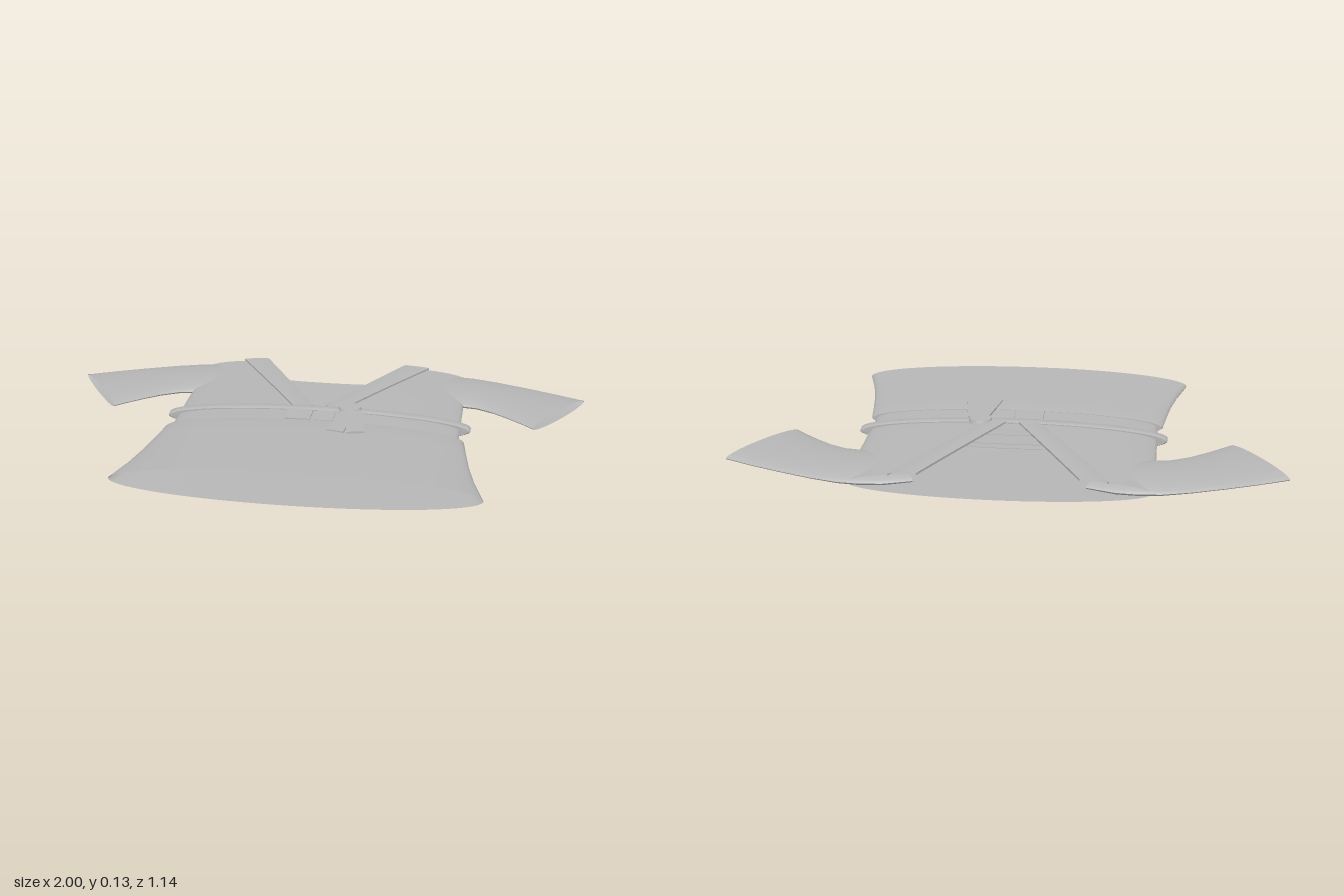
import * as THREE from 'three';
import { toCreasedNormals } from 'three/addons/utils/BufferGeometryUtils.js';

const CY = 0.0625; // mid height of the flat garment
const NECK = -0.56, V_END = -0.07;

// Skin a grid of cross-section points
function loft(rows) {
  const n = rows[0].length, index = [];
  for (let i = 0; i < rows.length - 1; i++) {
    for (let j = 0; j < n - 1; j++) {
      const a = i * n + j, b = a + 1, c = a + n, d = c + 1;
      index.push(a, c, b, b, c, d);
    }
  }
  const geo = new THREE.BufferGeometry();
  geo.setAttribute('position', new THREE.Float32BufferAttribute(rows.flat(2), 3));
  geo.setIndex(index);
  return toCreasedNormals(geo, 0.7);
}

// Elliptical ring around the body; an inner half-width leaves the front open
function ring(z, w, h, open = 0, segments = 72) {
  const start = Math.acos(open / w), end = Math.PI - start - 2 * Math.PI;
  return Array.from({ length: segments + 1 }, (_, j) => {
    const a = start + (end - start) * j / segments;
    return [w * Math.cos(a), CY + h * Math.sin(a), z];
  });
}

const lerp = THREE.MathUtils.lerp;
const torsoW = z => lerp(0.525, 0.537, THREE.MathUtils.smoothstep(z, NECK, -0.2));
const torsoH = z => lerp(0.047, 0.052, (z - NECK) / 0.65);
const neckX = z => z < V_END ? lerp(0.28, 0.025, (z - NECK) / (V_END - NECK)) : 0;
const surfaceY = (x, z) => CY + torsoH(z) * Math.sqrt(Math.max(0, 1 - (x / torsoW(z)) ** 2));

export function createModel() {
  const group = new THREE.Group();
  const cloth = new THREE.MeshStandardMaterial({ color: 0xb6b6b6, side: THREE.DoubleSide });
  cloth.name = 'grey cloth';
  const add = (name, geo) => {
    const mesh = new THREE.Mesh(geo, cloth);
    mesh.name = name;
    group.add(mesh);
    return mesh;
  };

  // Torso with V-shaped neck opening
  const torsoZ = Array.from({ length: 17 }, (_, i) => lerp(NECK, V_END, i / 16)).concat([-0.069, 0.0, 0.1]);
  add('torso', loft(torsoZ.map((z, i) => ring(z, torsoW(z), torsoH(z), i === 16 ? 0.025 : neckX(z)))));

  // Flared skirt with a turned-in upper lip
  add('skirt', loft([
    [0.075, 0.53, 0.05], [0.075, 0.553, 0.053], [0.085, 0.558, 0.0545], [0.18, 0.57, 0.056],
    [0.3, 0.587, 0.058], [0.43, 0.613, 0.06], [0.565, 0.65, 0.0625],
  ].map(r => ring(...r))));

  // Belt
  add('belt', loft([
    [-0.066, 0.53, 0.049], [-0.066, 0.568, 0.054], [-0.06, 0.576, 0.057],
    [-0.028, 0.576, 0.057], [-0.022, 0.568, 0.054], [-0.022, 0.53, 0.049],
  ].map(r => ring(...r))));

  // Sleeves: upper edge x,z, lower edge x,z, half thickness
  const sections = [
    [0.3, -0.53, 0.4, -0.3, 0.02], [0.4, -0.564, 0.46, -0.275, 0.026],
    [0.48, -0.571, 0.53, -0.27, 0.026], [0.56, -0.564, 0.59, -0.258, 0.023],
    [0.66, -0.536, 0.655, -0.22, 0.02], [0.78, -0.49, 0.71, -0.175, 0.019],
    [0.89, -0.443, 0.76, -0.13, 0.019], [1.0, -0.39, 0.807, -0.085, 0.02],
  ];
  const sleeveRows = sections.map(([tx, tz, bx, bz, h]) => Array.from({ length: 37 }, (_, j) => {
    const a = j / 36 * Math.PI * 2, k = (1 + Math.cos(a)) / 2;
    return [lerp(tx, bx, k), CY + h * Math.sin(a), lerp(tz, bz, k)];
  }));

  // Collar bands along the neck opening
  const bandRows = Array.from({ length: 13 }, (_, i) => {
    const t = i / 12, z = lerp(-0.566, -0.06, t);
    const inner = lerp(0.28, 0.022, t), outer = lerp(0.38, 0.1, t);
    const lift = [-0.002, 0.008, 0.01, 0.01, 0.01, 0.008, -0.002];
    const across = [0, 0, 0.1, 0.5, 0.9, 1, 1];
    return lift.map((y, j) => {
      const x = lerp(inner, outer, across[j]);
      return [x, surfaceY(x, z) + y * 0.8, z];
    });
  });
  for (const [side, sx] of [['left', 1], ['right', -1]]) {
    add(side + 'Sleeve', loft(sleeveRows)).scale.x = sx;
    add(side + 'CollarBand', loft(bandRows)).scale.x = sx;
  }

  // Belt knot
  const knot = add('beltKnot', new THREE.CylinderGeometry(0.04, 0.046, 0.016, 32));
  knot.position.set(0.12, 0.119, -0.05);

  // Flat cloth pieces drawn as x,z outlines
  const plate = (name, outline, y, depth) => {
    const shape = new THREE.Shape(outline.map(([x, z]) => new THREE.Vector2(x, -z)));
    const geo = new THREE.ExtrudeGeometry(shape, { depth, bevelEnabled: false });
    add(name, geo.rotateX(-Math.PI / 2)).position.y = y;
  };
  plate('rightBeltTail', [[0.095, -0.03], [0.145, -0.03], [0.125, 0.18], [0.06, 0.165]], 0.115, 0.007);
  plate('leftBeltTail', [[0.11, -0.03], [0.17, -0.03], [0.2, 0.17], [0.135, 0.185]], 0.117, 0.007);
  plate('wideTab', [[-0.11, -0.025], [-0.015, -0.025], [-0.015, 0.07], [-0.11, 0.07]], 0.109, 0.009);
  plate('narrowTab', [[0.0, -0.025], [0.07, -0.025], [0.07, 0.068], [0.0, 0.068]], 0.109, 0.007);

  return group;
}
